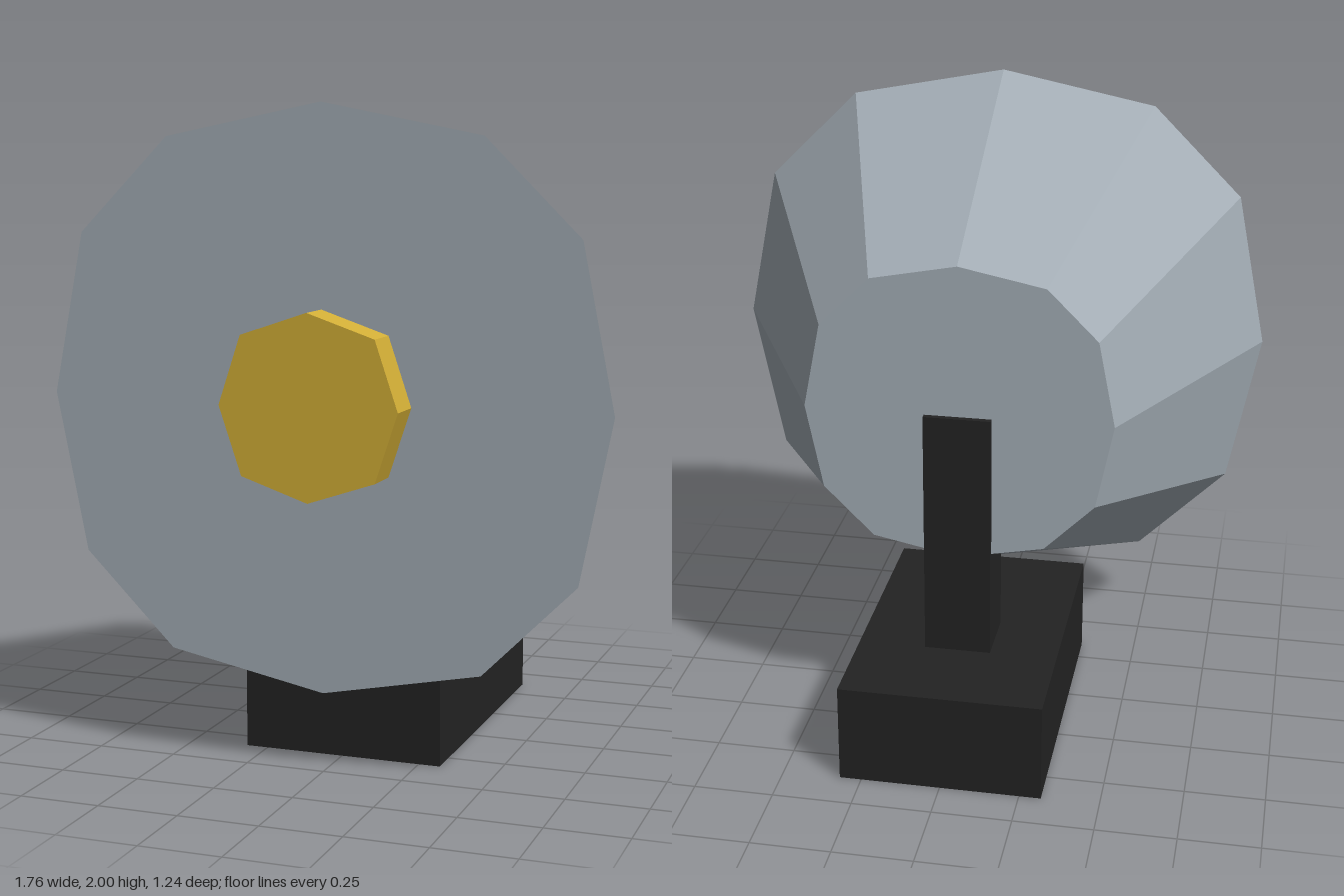
import * as THREE from 'three';

const paint = (name, color) => {
  const m = new THREE.MeshStandardMaterial({ color });
  m.name = name;
  return m;
};

// Prism along z from an outline mirrored into all four quadrants,
// with its back end scaled by `taper`.
function taperedPrism(quadrant, zBack, zFront, taper = 1) {
  const points = [];
  for (let q = 0; q < 4; q++) {
    for (const [x, y] of quadrant) {
      points.push(new THREE.Vector2(x, y).rotateAround(new THREE.Vector2(), q * Math.PI / 2));
    }
  }
  const geo = new THREE.ExtrudeGeometry(new THREE.Shape(points), {
    depth: zFront - zBack, bevelEnabled: false,
  });
  geo.translate(0, 0, zBack);
  const p = geo.attributes.position;
  const mid = (zBack + zFront) / 2;
  for (let i = 0; i < p.count; i++) {
    if (p.getZ(i) < mid) p.setXY(i, p.getX(i) * taper, p.getY(i) * taper);
  }
  geo.computeVertexNormals();
  return geo;
}

export function createModel() {
  const model = new THREE.Group();
  model.name = 'dishOnStand';
  const grey = paint('grey metal', 0xa3adb5);
  const gold = paint('gold', 0xd4af37);
  const black = paint('black', 0x232323);

  const add = (name, geometry, material, x, y, z) => {
    const mesh = new THREE.Mesh(geometry, material);
    mesh.name = name;
    mesh.position.set(x, y, z);
    model.add(mesh);
  };

  const axisY = 1.122;

  // Twelve-sided dish, narrowing towards the back
  add('dish', taperedPrism([[0.878, 0], [0.78, 0.493], [0.493, 0.78]], -0.3, 0.5, 0.545),
    grey, 0, axisY, 0);

  // Eight-sided hub on the front face
  add('hub', taperedPrism([[0.278, 0], [0.208, 0.208]], 0.5, 0.62), gold, 0, axisY, 0);

  // Post behind the dish and the block it stands on
  add('post', new THREE.BoxGeometry(0.21, 0.8, 0.2), black, 0, 0.72, -0.218);
  add('base', new THREE.BoxGeometry(0.637, 0.32, 0.957), black, 0, 0.16, -0.14);

  return model;
}
